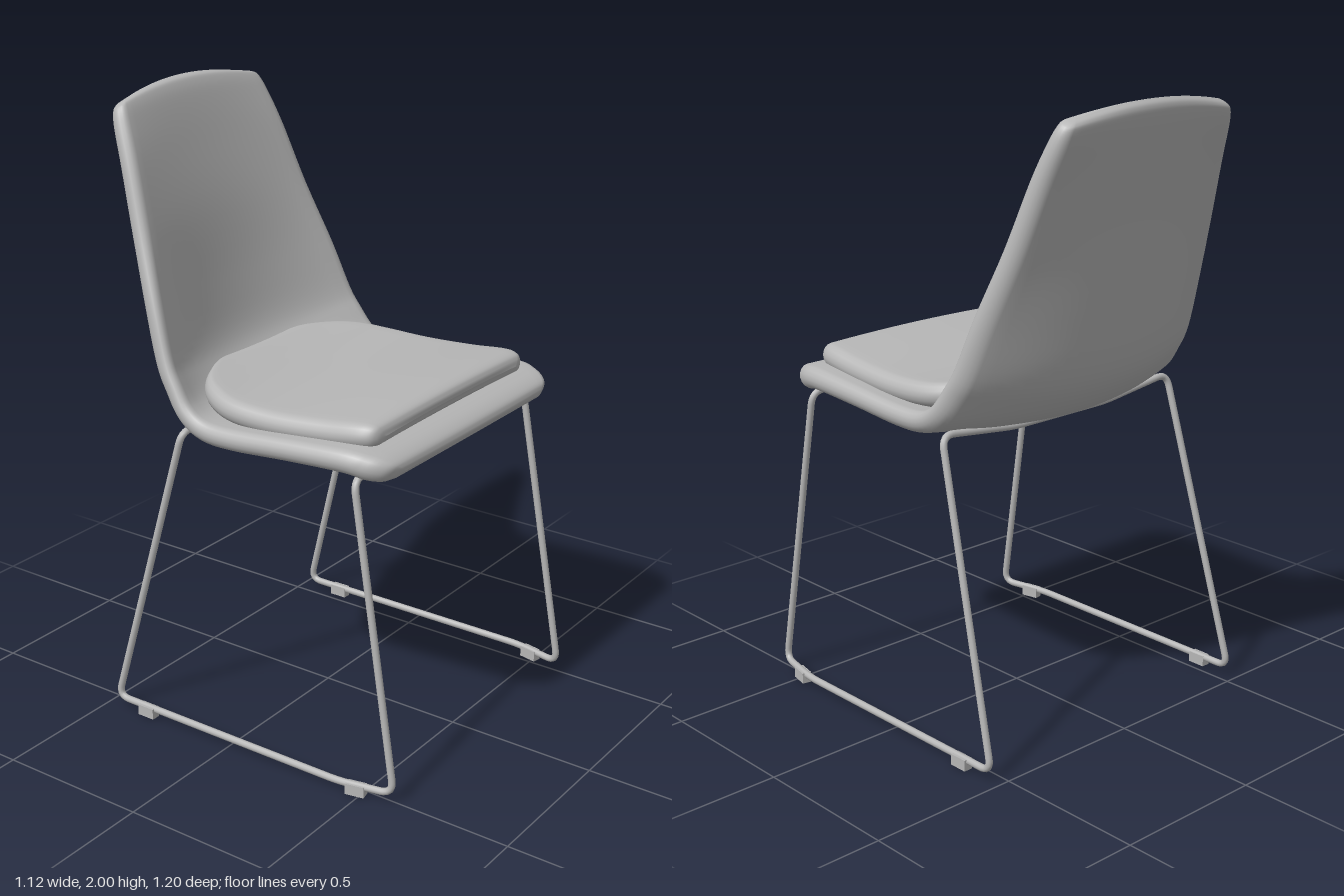
import * as THREE from 'three';

const grey = new THREE.MeshStandardMaterial({ color: 0xb6b6b6 });
grey.name = 'grey';

// Padded sheet lofted front to back. Each station is
// [centre z, centre y, edge z, edge y, half width, half thickness]
function loft(stations) {
  const line = (f) => new THREE.CatmullRomCurve3(stations.map(f), false, 'catmullrom', 0.5);
  const centre = line((s) => new THREE.Vector3(0, s[1], s[0]));
  const edge = line((s) => new THREE.Vector3(0, s[3], s[2]));
  const size = line((s) => new THREE.Vector3(s[4], s[5], 0));
  const rows = (stations.length - 1) * 5, arc = 8, flat = 24;
  const pos = [], idx = [];
  let count = 0;
  for (let i = 0; i <= rows; i++) {
    const s = i / rows;
    const c = centre.getPoint(s), e = edge.getPoint(s), wt = size.getPoint(s);
    const tc = centre.getTangent(s), te = edge.getTangent(s);
    const w = wt.x, t = Math.max(wt.y, 0);
    // stadium-shaped section, counted from the lower right
    const ring = [];
    for (const side of [1, -1]) {
      for (let k = 0; k <= arc; k++) {
        const a = -Math.PI / 2 + (k / arc) * Math.PI;
        ring.push([side * (w - t + t * Math.cos(a)), side * t * Math.sin(a)]);
      }
      for (let k = 1; k < flat; k++) ring.push([side * (w - t) * (1 - (2 * k) / flat), side * t]);
    }
    count = ring.length;
    for (const [x, off] of ring) {
      const u = (x / w) ** 2;
      const p = c.clone().lerp(e, u), d = tc.clone().lerp(te, u).normalize();
      pos.push(x, p.y - d.z * off, p.z + d.y * off);
    }
  }
  for (let i = 0; i < rows; i++) {
    for (let j = 0; j < count; j++) {
      const k = (j + 1) % count;
      const a = i * count + j, b = a + count, c = (i + 1) * count + k, d = i * count + k;
      idx.push(a, b, c, a, c, d);
    }
  }
  const g = new THREE.BufferGeometry();
  g.setAttribute('position', new THREE.Float32BufferAttribute(pos, 3));
  g.setIndex(idx);
  g.computeVertexNormals();
  return g;
}

// Closed wire path with rounded corners
function roundedLoop(points, radius) {
  const path = new THREE.CurvePath();
  const v = points.map((p) => new THREE.Vector3(...p));
  const n = v.length;
  const toward = (a, b) => a.clone().add(b.clone().sub(a).setLength(Math.min(radius, a.distanceTo(b) * 0.45)));
  for (let i = 0; i < n; i++) {
    const p = v[i], next = v[(i + 1) % n], prev = v[(i + n - 1) % n];
    path.add(new THREE.QuadraticBezierCurve3(toward(p, prev), p, toward(p, next)));
    path.add(new THREE.LineCurve3(toward(p, next), toward(next, p)));
  }
  return path;
}

export function createModel() {
  const model = new THREE.Group();
  model.name = 'chair';
  const add = (name, geometry) => {
    const m = new THREE.Mesh(geometry, grey);
    m.name = name;
    model.add(m);
    return m;
  };

  // One-piece seat and wrapped backrest
  add('seatShell', loft([
    [0.55, 1.03, 0.55, 1.03, 0.38, 0],
    [0.545, 1.033, 0.543, 1.033, 0.43, 0.02],
    [0.525, 1.04, 0.522, 1.04, 0.47, 0.034],
    [0.48, 1.05, 0.475, 1.05, 0.5, 0.04],
    [0.4, 1.06, 0.4, 1.06, 0.515, 0.037],
    [0.2, 1.04, 0.2, 1.05, 0.52, 0.035],
    [0, 1.015, 0, 1.035, 0.52, 0.035],
    [-0.15, 1.01, -0.11, 1.04, 0.517, 0.035],
    [-0.25, 1.03, -0.18, 1.08, 0.512, 0.035],
    [-0.33, 1.09, -0.23, 1.15, 0.502, 0.035],
    [-0.385, 1.18, -0.27, 1.22, 0.492, 0.035],
    [-0.425, 1.35, -0.33, 1.38, 0.467, 0.035],
    [-0.47, 1.6, -0.41, 1.58, 0.425, 0.035],
    [-0.52, 1.8, -0.48, 1.78, 0.39, 0.034],
    [-0.553, 1.92, -0.525, 1.89, 0.367, 0.032],
    [-0.568, 1.97, -0.545, 1.94, 0.35, 0.027],
    [-0.575, 1.99, -0.552, 1.957, 0.33, 0.018],
    [-0.578, 2.0, -0.556, 1.967, 0.3, 0],
  ]));

  // Loose seat pad
  add('seatCushion', loft([
    [0.476, 1.125, 0.476, 1.118, 0.37, 0],
    [0.47, 1.126, 0.468, 1.118, 0.41, 0.022],
    [0.45, 1.127, 0.445, 1.118, 0.433, 0.036],
    [0.4, 1.125, 0.395, 1.113, 0.445, 0.04],
    [0.28, 1.112, 0.28, 1.1, 0.452, 0.04],
    [0.1, 1.093, 0.1, 1.09, 0.459, 0.04],
    [-0.05, 1.09, -0.05, 1.095, 0.452, 0.04],
    [-0.15, 1.1, -0.15, 1.11, 0.415, 0.039],
    [-0.22, 1.113, -0.22, 1.12, 0.35, 0.036],
    [-0.265, 1.125, -0.265, 1.13, 0.265, 0.03],
    [-0.287, 1.133, -0.287, 1.135, 0.19, 0.02],
    [-0.295, 1.137, -0.295, 1.137, 0.12, 0],
  ]));

  // Continuous wire sled frame: legs, floor runners and two under-seat bars
  const side = [[0.485, 1.01, 0.44], [0.505, 0.03, 0.605], [0.54, 0.03, 0.43], [0.54, 0.03, -0.465], [0.49, 1.015, -0.2]];
  const mirrored = side.map(([x, y, z]) => [-x, y, z]).reverse();
  const wire = roundedLoop([...side, [0.2, 0.98, -0.2], [-0.2, 0.98, -0.2], ...mirrored], 0.045);
  add('sledFrame', new THREE.TubeGeometry(wire, 700, 0.0115, 10, true));

  // Glides under the runners
  for (const s of [1, -1]) {
    for (const [name, x, z, turn] of [['frontGlide', 0.53, 0.485, -0.2], ['rearGlide', 0.543, -0.335, 0]]) {
      const glide = add(name, new THREE.BoxGeometry(0.03, 0.036, 0.062));
      glide.position.set(s * x, 0.018, z);
      glide.rotation.y = s * turn;
    }
  }
  return model;
}
